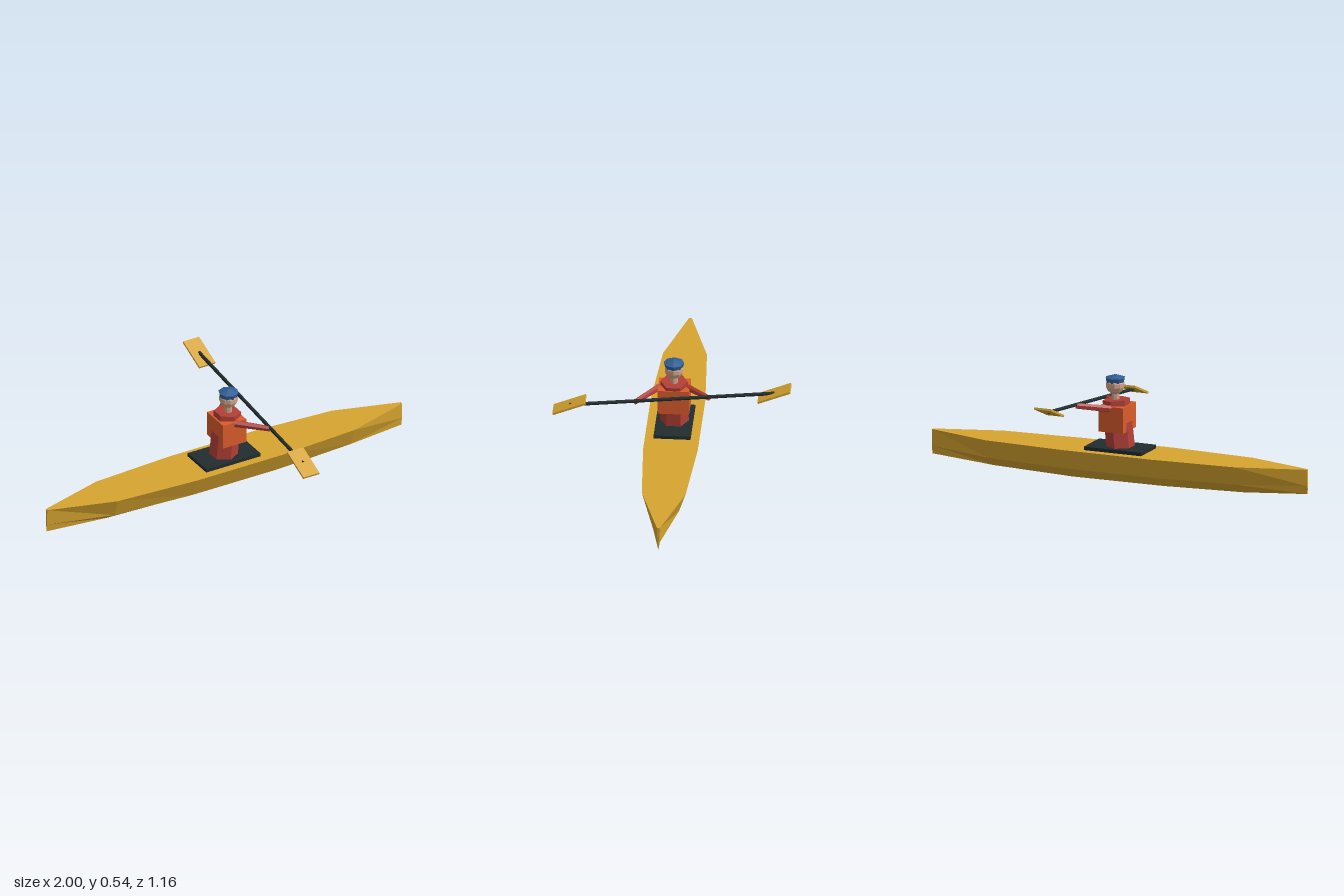
import * as THREE from 'three';

const mat = (name, color) => {
  const m = new THREE.MeshStandardMaterial({ color, flatShading: true });
  m.name = name;
  return m;
};

export function createModel() {
  const ochre = mat('ochre', 0xd6a430);
  const black = mat('black', 0x222c2e);
  const red = mat('jacketRed', 0xb23f36);
  const orange = mat('vestOrange', 0xdb5c2c);
  const skin = mat('skin', 0xd2a588);
  const blue = mat('capBlue', 0x315f96);

  const model = new THREE.Group();
  model.name = 'kayaker';

  const add = (name, geometry, material, x = 0, y = 0, z = 0, parent = model) => {
    const mesh = new THREE.Mesh(geometry, material);
    mesh.name = name;
    mesh.position.set(x, y, z);
    parent.add(mesh);
    return mesh;
  };

  // Straight cylinder running from point a to point b
  const rod = (name, a, b, rStart, rEnd, sides, material, parent = model) => {
    const from = new THREE.Vector3(...a);
    const dir = new THREE.Vector3(...b).sub(from);
    const mesh = add(name, new THREE.CylinderGeometry(rEnd, rStart, dir.length(), sides), material, 0, 0, 0, parent);
    mesh.position.copy(from).addScaledVector(dir, 0.5);
    mesh.quaternion.setFromUnitVectors(new THREE.Vector3(0, 1, 0), dir.normalize());
    return mesh;
  };

  // Hull: V-bottomed cross-sections joined from stern to bow
  // x, deck half-width, chine half-width, chine y, keel y
  const stations = [
    [-1, 0.007, 0.005, 0.08, 0.04],
    [-0.66, 0.107, 0.075, 0.068, 0.014],
    [-0.23, 0.133, 0.093, 0.062, 0.002],
    [0.25, 0.133, 0.093, 0.062, 0],
    [0.67, 0.107, 0.075, 0.068, 0.014],
    [1, 0.007, 0.005, 0.08, 0.04],
  ];
  const deckY = 0.163;
  const positions = [];
  const index = [];
  stations.forEach(([x, w, c, cy, ky], i) => {
    positions.push(x, deckY, w, x, cy, c, x, ky, 0, x, cy, -c, x, deckY, -w);
    if (i === stations.length - 1) return;
    for (let j = 0; j < 5; j++) {
      const a = i * 5 + j;
      const b = i * 5 + ((j + 1) % 5);
      index.push(a, b, b + 5, a, b + 5, a + 5);
    }
  });
  const last = (stations.length - 1) * 5;
  for (let j = 1; j < 4; j++) {
    index.push(0, j + 1, j);
    index.push(last, last + j, last + j + 1);
  }
  const indexed = new THREE.BufferGeometry();
  indexed.setAttribute('position', new THREE.Float32BufferAttribute(positions, 3));
  indexed.setIndex(index);
  const hull = indexed.toNonIndexed();
  hull.computeVertexNormals();
  add('hull', hull, ochre);

  // Cockpit plate
  add('cockpit', new THREE.BoxGeometry(0.305, 0.025, 0.18), black, 0, 0.168, 0);

  // Paddler, leaning slightly forward
  const paddler = new THREE.Group();
  paddler.name = 'paddler';
  model.add(paddler);
  rod('torso', [-0.003, 0.175, 0], [0.02, 0.412, 0], 0.07, 0.067, 6, red, paddler);
  add('vest', new THREE.BoxGeometry(0.13, 0.128, 0.155), orange, 0.015, 0.325, 0, paddler);
  add('neck', new THREE.CylinderGeometry(0.02, 0.02, 0.05, 8), skin, 0.024, 0.43, 0, paddler);
  add('head', new THREE.SphereGeometry(0.047, 10, 7), skin, 0.025, 0.484, 0, paddler);

  // Faceted cap
  const capProfile = [[0.0, 0.489], [0.043, 0.493], [0.05, 0.521], [0, 0.537]]
    .map(([r, y]) => new THREE.Vector2(r, y));
  add('cap', new THREE.LatheGeometry(capProfile, 8), blue, 0.025, 0, 0, paddler);

  // Paddle: tilted shaft with feathered blades
  const paddle = new THREE.Group();
  paddle.name = 'paddle';
  model.add(paddle);
  const paddleX = 0.153;
  const shaftY = (z) => 0.391 - 0.11 * z;
  rod('shaft', [paddleX, shaftY(0.5), 0.5], [paddleX, shaftY(-0.5), -0.5], 0.009, 0.009, 8, black, paddle);

  // One blade and one arm on each side
  for (const side of [1, -1]) {
    const label = side > 0 ? 'front' : 'back';
    const blade = add(label + 'Blade', new THREE.BoxGeometry(0.09, 0.01, 0.17), ochre,
      paddleX, shaftY(0.5 * side), 0.5 * side, paddle);
    blade.rotation.x = 0.39;
    const hand = 0.18 * side;
    rod(label + 'Arm', [0.02, 0.378, 0.07 * side], [paddleX, shaftY(hand) - 0.006, hand],
      0.018, 0.014, 6, red, paddler);
  }

  return model;
}
